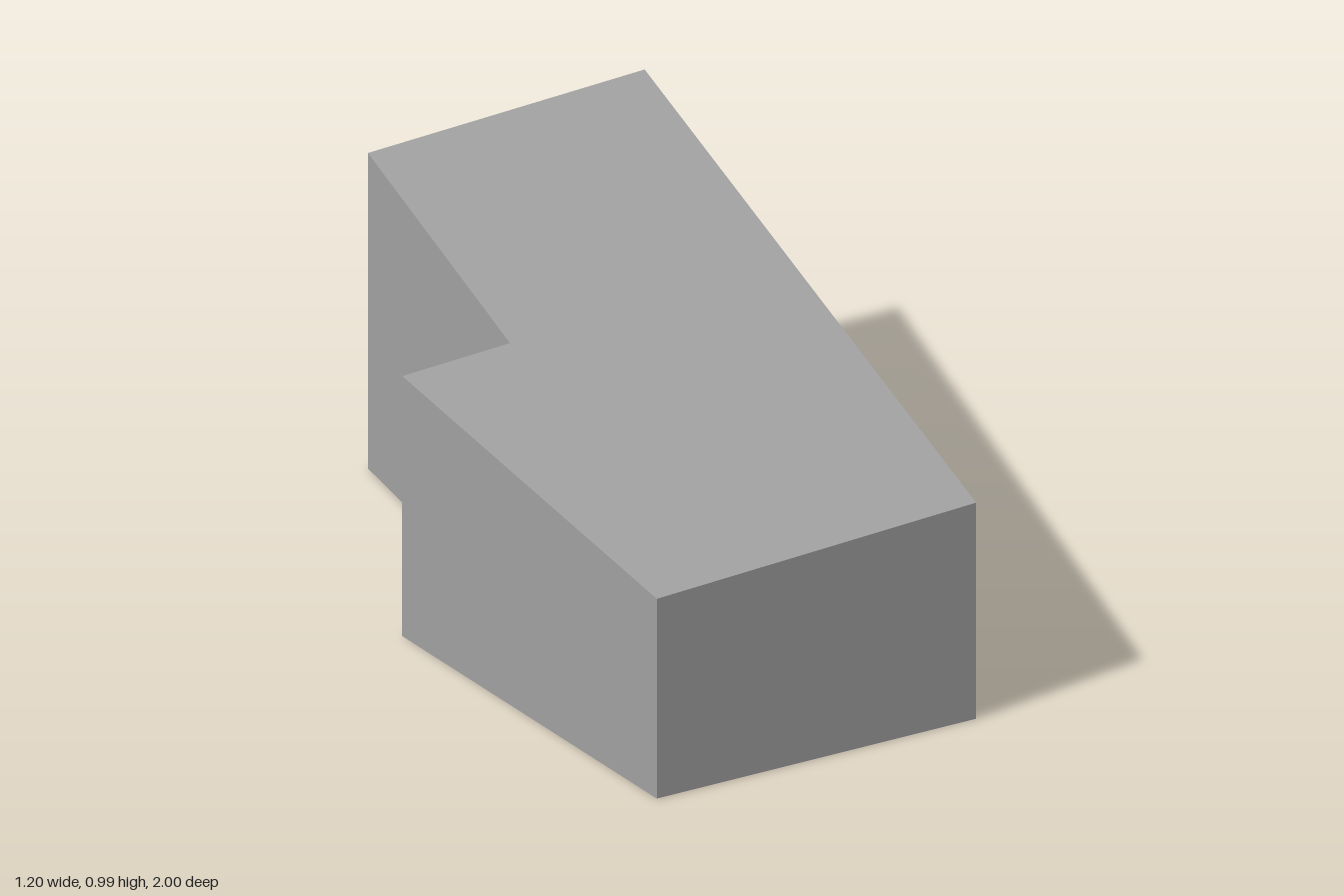
import * as THREE from 'three';

// Sloping roof plane: height at a plan position
const roofHeight = (x, z) => 0.7895 + 0.0398 * x - 0.178 * z;

// Building footprint as [x, z] corners
const footprint = [
  [-0.34, 1], [0.6, 0.935], [0.49, -1],
  [-0.325, -0.943], [-0.285, -0.097], [-0.603, -0.073],
];

export function createModel() {
  const group = new THREE.Group();
  group.name = 'building';

  const wallGrey = new THREE.MeshStandardMaterial({ color: 0xa0a0a0 });
  wallGrey.name = 'wall grey';

  // Extrude the footprint upwards, then tilt the top to the roof plane
  const shape = new THREE.Shape(footprint.map(([x, z]) => new THREE.Vector2(x, -z)));
  const geometry = new THREE.ExtrudeGeometry(shape, { depth: 1, bevelEnabled: false });
  geometry.rotateX(-Math.PI / 2);
  const pos = geometry.attributes.position;
  for (let i = 0; i < pos.count; i++) {
    pos.setY(i, pos.getY(i) > 0.5 ? roofHeight(pos.getX(i), pos.getZ(i)) : 0);
  }
  geometry.computeVertexNormals();

  const block = new THREE.Mesh(geometry, wallGrey);
  block.name = 'slopedRoofBlock';
  group.add(block);
  return group;
}
